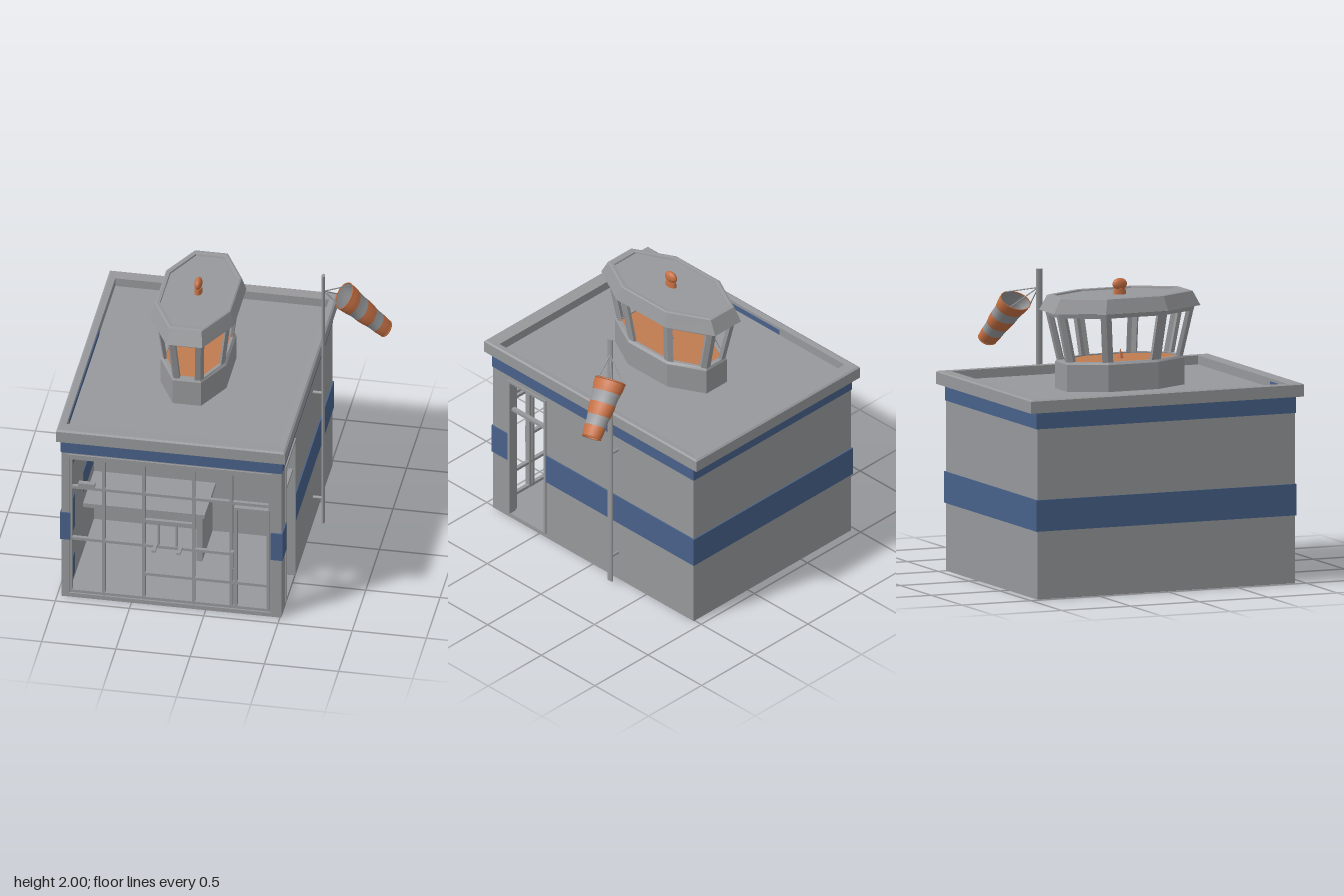
import * as THREE from 'three';
import { mergeVertices } from 'three/addons/utils/BufferGeometryUtils.js';

const colour = (name, hex) => {
  const m = new THREE.MeshStandardMaterial({ color: hex });
  m.name = name;
  return m;
};

// Skin between rings of [x, y, z] points, each counter-clockwise seen from the far end
function loft(rings, { caps = false, smooth = false } = {}) {
  const pos = [];
  const tri = (...pts) => pts.forEach((p) => pos.push(...p));
  const n = rings[0].length;
  for (let r = 0; r < rings.length - 1; r++) {
    const a = rings[r], b = rings[r + 1];
    for (let i = 0; i < n; i++) {
      const j = (i + 1) % n;
      tri(a[i], a[j], b[j]);
      tri(a[i], b[j], b[i]);
    }
  }
  if (caps) {
    const a = rings[0], b = rings[rings.length - 1];
    for (let i = 1; i < n - 1; i++) {
      tri(a[0], a[i + 1], a[i]);
      tri(b[0], b[i], b[i + 1]);
    }
  }
  let g = new THREE.BufferGeometry();
  g.setAttribute('position', new THREE.Float32BufferAttribute(pos, 3));
  if (smooth) g = mergeVertices(g, 1e-5);
  g.computeVertexNormals();
  return g;
}

// Stretched octagon around the tower axis
function octagon(y, hx, hz) {
  const fx = hx * 0.43, fz = hz * 0.425;
  return [[-fx, hz], [fx, hz], [hx, fz], [hx, -fz], [fx, -hz], [-fx, -hz], [-hx, -fz], [-hx, fz]]
    .map(([x, z]) => [x - 0.22, y, z - 0.005]);
}

const rect = (y, x0, x1, z0, z1) => [[x0, y, z1], [x1, y, z1], [x1, y, z0], [x0, y, z0]];

export function createModel() {
  const root = new THREE.Group();
  root.name = 'airfieldTower';
  const grey = colour('concreteGrey', 0x97989b);
  const blue = colour('stripeBlue', 0x486189);
  const orange = colour('signalOrange', 0xc57043);
  const tan = colour('cabinFloorOrange', 0xbf7a50);

  const add = (parent, name, geo, mat) => {
    const m = new THREE.Mesh(geo, mat);
    m.name = name;
    parent.add(m);
    return m;
  };
  const group = (name) => {
    const g = new THREE.Group();
    g.name = name;
    root.add(g);
    return g;
  };
  // Box given by its extents
  const box = (parent, name, mat, x0, x1, y0, y1, z0, z1) => {
    const m = add(parent, name, new THREE.BoxGeometry(x1 - x0, y1 - y0, z1 - z0), mat);
    m.position.set((x0 + x1) / 2, (y0 + y1) / 2, (z0 + z1) / 2);
    return m;
  };
  const rod = (parent, name, mat, a, b, r) => {
    const p = new THREE.Vector3(...a), q = new THREE.Vector3(...b);
    const d = q.clone().sub(p);
    const m = add(parent, name, new THREE.CylinderGeometry(r, r, d.length(), 8), mat);
    m.position.copy(p).add(q).multiplyScalar(0.5);
    m.quaternion.setFromUnitVectors(new THREE.Vector3(0, 1, 0), d.normalize());
    return m;
  };

  // Hall walls, with a glazed front and a doorway in the +x side
  const hall = group('hall');
  box(hall, 'floor', grey, -0.97, 0.51, 0, 0.03, -0.94, 0.93);
  box(hall, 'backWall', grey, -0.97, 0.51, 0.03, 1.25, -0.94, -0.89);
  box(hall, 'sideWall', grey, -0.97, -0.92, 0.03, 1.25, -0.89, 0.93);
  box(hall, 'doorSideWall', grey, 0.46, 0.51, 0.03, 1.25, -0.89, 0.45);
  box(hall, 'doorSideCorner', grey, 0.44, 0.51, 0.03, 1.25, 0.78, 0.93);
  box(hall, 'doorLintel', grey, 0.46, 0.51, 1.09, 1.25, 0.45, 0.78);
  box(hall, 'frontLintel', grey, -0.92, 0.44, 1.12, 1.25, 0.86, 0.93);
  box(hall, 'ceiling', grey, -0.92, 0.46, 1.2, 1.25, -0.89, 0.86);
  box(hall, 'partition', grey, -0.92, 0.46, 0.03, 1.2, -0.02, 0.02);

  // Side doorway trim
  for (const z of [0.435, 0.77]) box(hall, 'doorJamb', grey, 0.46, 0.518, 0.03, 1.1, z, z + 0.02);
  box(hall, 'doorHead', grey, 0.46, 0.518, 1.085, 1.105, 0.435, 0.79);
  box(hall, 'doorTransom', grey, 0.47, 0.5, 0.853, 0.873, 0.455, 0.77);

  // Blue stripes
  const stripes = group('stripes');
  box(stripes, 'topStripeFront', blue, -0.974, 0.514, 1.14, 1.25, 0.93, 0.936);
  box(stripes, 'topStripeBack', blue, -0.974, 0.514, 1.14, 1.25, -0.946, -0.94);
  for (const x of [-0.976, 0.51]) box(stripes, 'topStripeSide', blue, x, x + 0.006, 1.14, 1.25, -0.94, 0.93);
  box(stripes, 'stripeBack', blue, -0.979, 0.519, 0.455, 0.665, -0.949, -0.94);
  box(stripes, 'stripeSide', blue, -0.979, -0.97, 0.455, 0.665, -0.94, 0.939);
  box(stripes, 'stripeDoorSide', blue, 0.51, 0.519, 0.455, 0.665, -0.94, 0.435);
  box(stripes, 'stripeDoorCorner', blue, 0.51, 0.519, 0.455, 0.665, 0.79, 0.939);
  box(stripes, 'stripeFrontLeft', blue, 0.44, 0.51, 0.455, 0.665, 0.93, 0.939);
  box(stripes, 'stripeFrontRight', blue, -0.97, -0.91, 0.455, 0.665, 0.93, 0.939);

  // Blue patches inside the hall and inside the roof rim
  for (const [y0, y1, z0, z1] of [[0.44, 0.7, 0.74, 0.89], [0.07, 0.24, 0.745, 0.86],
    [0.97, 1.09, 0.745, 0.86], [0.5, 0.66, 0.04, 0.42]])
    box(stripes, 'innerWallPatch', blue, -0.92, -0.915, y0, y1, z0, z1);
  box(stripes, 'rimPatchSide', blue, -0.945, -0.941, 1.28, 1.315, -0.3, 0.8);
  box(stripes, 'rimPatchFront', blue, -0.935, -0.68, 1.28, 1.315, 0.881, 0.885);

  // Front glazing bars
  const glazing = group('frontGlazing');
  for (const x of [-0.912, -0.69, -0.42, -0.085, 0.17, 0.432])
    box(glazing, 'mullion', grey, x - 0.01, x + 0.01, 0.03, 1.12, 0.89, 0.92);
  for (const [x0, x1, y] of [[-0.92, 0.44, 1.09], [-0.92, 0.44, 0.86], [-0.92, 0.18, 0.455],
    [-0.42, 0.44, 0.23], [-0.42, -0.085, 0.65], [-0.92, 0.44, 0.04]])
    box(glazing, 'transom', grey, x0, x1, y - 0.01, y + 0.01, 0.892, 0.918);
  box(glazing, 'headRail', grey, -0.93, 0.445, 1.105, 1.13, 0.92, 0.94);
  for (const x of [0.2, 0.42]) box(glazing, 'frontDoorStile', grey, x - 0.01, x + 0.01, 0.04, 0.83, 0.89, 0.925);
  box(glazing, 'frontDoorRail', grey, 0.19, 0.43, 0.81, 0.83, 0.89, 0.925);
  box(glazing, 'doorHandle', grey, 0.17, 0.19, 0.36, 0.49, 0.92, 0.95);
  for (const x of [-0.32, -0.2]) box(glazing, 'hatchBar', grey, x - 0.006, x + 0.006, 0.465, 0.64, 0.895, 0.915);
  for (const x of [-0.34, -0.17]) box(glazing, 'windowCatch', grey, x - 0.012, x + 0.012, 0.46, 0.475, 0.91, 1.0);
  box(glazing, 'ventLatch', grey, -0.86, -0.75, 0.87, 0.9, 0.89, 0.925);

  // Counter behind the glazing
  box(hall, 'counterTop', grey, -0.92, -0.1, 0.38, 0.41, 0.02, 0.42);
  box(hall, 'counterLeg', grey, -0.16, -0.12, 0.03, 0.38, 0.02, 0.4);

  // Flat roof with raised rim
  add(root, 'roof', loft([
    rect(1.245, -0.97, 0.51, -0.94, 0.93), rect(1.25, -0.998, 0.543, -0.998, 0.985),
    rect(1.33, -0.998, 0.543, -0.998, 0.985), rect(1.338, -0.985, 0.53, -0.985, 0.97),
    rect(1.335, -0.945, 0.495, -0.905, 0.885), rect(1.275, -0.945, 0.495, -0.905, 0.885),
  ], { caps: true }), grey);

  // Lookout cabin
  const cabin = group('lookoutCabin');
  add(cabin, 'cabinBase', loft([
    octagon(1.26, 0.222, 0.426), octagon(1.455, 0.222, 0.426), octagon(1.472, 0.207, 0.417),
    octagon(1.472, 0.19, 0.385), octagon(1.455, 0.19, 0.385),
  ]), grey);
  add(cabin, 'cabinFloor', loft([octagon(1.45, 0.195, 0.39), octagon(1.464, 0.195, 0.39)], { caps: true }), tan);

  // Leaning corner posts
  const mix = (a, b, w) => {
    const d = Math.hypot(b[0] - a[0], b[2] - a[2]);
    return a.map((v, k) => v + (b[k] - v) * w / d);
  };
  const low = [octagon(1.465, 0.208, 0.418), octagon(1.465, 0.19, 0.39)];
  const high = [octagon(1.805, 0.25, 0.495), octagon(1.805, 0.232, 0.467)];
  for (let i = 0; i < 8; i++) {
    const section = ([o, n]) => {
      const p = (i + 7) % 8, q = (i + 1) % 8;
      return [mix(o[i], o[p], 0.038), o[i], mix(o[i], o[q], 0.038),
        mix(n[i], n[q], 0.033), n[i], mix(n[i], n[p], 0.033)];
    };
    add(cabin, 'cornerPost', loft([section(low), section(high)]), grey);
  }
  add(cabin, 'windowHeader', loft([
    octagon(1.805, 0.225, 0.46), octagon(1.77, 0.225, 0.46),
    octagon(1.77, 0.246, 0.488), octagon(1.805, 0.251, 0.496),
  ]), grey);
  add(cabin, 'cabinRoof', loft([
    octagon(1.8, 0.27, 0.515), octagon(1.803, 0.282, 0.532), octagon(1.9, 0.255, 0.48),
    octagon(1.905, 0.245, 0.462), octagon(1.902, 0.225, 0.432), octagon(1.892, 0.222, 0.428),
  ], { caps: true }), grey);
  add(cabin, 'floorSpike', new THREE.ConeGeometry(0.022, 0.07, 8), orange).position.set(-0.22, 1.495, 0);

  // Beacon
  const foot = add(cabin, 'beaconFoot', new THREE.CylinderGeometry(0.024, 0.027, 0.04, 16), orange);
  foot.position.set(-0.22, 1.91, -0.005);
  foot.scale.z = 1.7;
  const lamp = add(cabin, 'beaconLamp', new THREE.SphereGeometry(0.04, 20, 14), orange);
  lamp.position.set(-0.22, 1.96, -0.005);
  lamp.scale.set(0.65, 1, 1.3);

  // Windsock mast
  const mast = group('windsockMast');
  const pole = add(mast, 'pole', new THREE.CylinderGeometry(0.023, 0.023, 1.95, 12), grey);
  pole.position.set(0.58, 0.995, -0.232);
  pole.scale.x = 0.5;
  for (const y of [0.21, 1.04]) rod(mast, 'poleBracket', grey, [0.5, y, -0.232], [0.59, y, -0.232], 0.011);

  // Windsock: tapered elliptical sleeve in five bands
  const start = new THREE.Vector3(0.7, 1.747, -0.35), end = new THREE.Vector3(0.963, 1.463, -0.437);
  const d = end.clone().sub(start).normalize();
  const u = new THREE.Vector3(0, 0, 1).addScaledVector(d, -d.z).normalize();
  const v = d.clone().cross(u);
  const sockPoint = (t, a, inset) => {
    const bulge = 1 + 0.03 * Math.sin(t * Math.PI * 5);
    const ru = (0.115 - 0.046 * t) * bulge - inset, rv = (0.08 - 0.028 * t) * bulge - inset;
    return start.clone().lerp(end, t).addScaledVector(u, ru * Math.cos(a)).addScaledVector(v, rv * Math.sin(a)).toArray();
  };
  const sockRing = (t, inset) => Array.from({ length: 20 }, (_, i) => sockPoint(t, i * Math.PI / 10, inset));
  const cuts = [0, 0.2, 0.4, 0.62, 0.8, 1];
  for (let i = 0; i < 5; i++) {
    const ts = [0, 1 / 3, 2 / 3, 1].map((f) => cuts[i] + (cuts[i + 1] - cuts[i]) * f);
    const skin = i % 2 ? grey : orange;
    const lining = i < 4 ? grey : orange;
    add(mast, 'sockBand', loft(ts.map((t) => sockRing(t, 0)), { smooth: true }), skin);
    add(mast, 'sockLining', loft(ts.map((t) => sockRing(t, 0.004)).reverse(), { smooth: true }), lining);
  }
  for (const t of [0, 1])
    add(mast, 'sockHem', loft([sockRing(t, 0.005), sockRing(t - 0.015, 0), sockRing(t, -0.003),
      sockRing(t + 0.015, 0), sockRing(t, 0.005)], { smooth: true }), orange);
  for (const a of [0.2, 2.2, 4.2]) rod(mast, 'sockBridle', grey, [0.585, 1.845, -0.235], sockPoint(0, a, 0), 0.004);

  return root;
}
